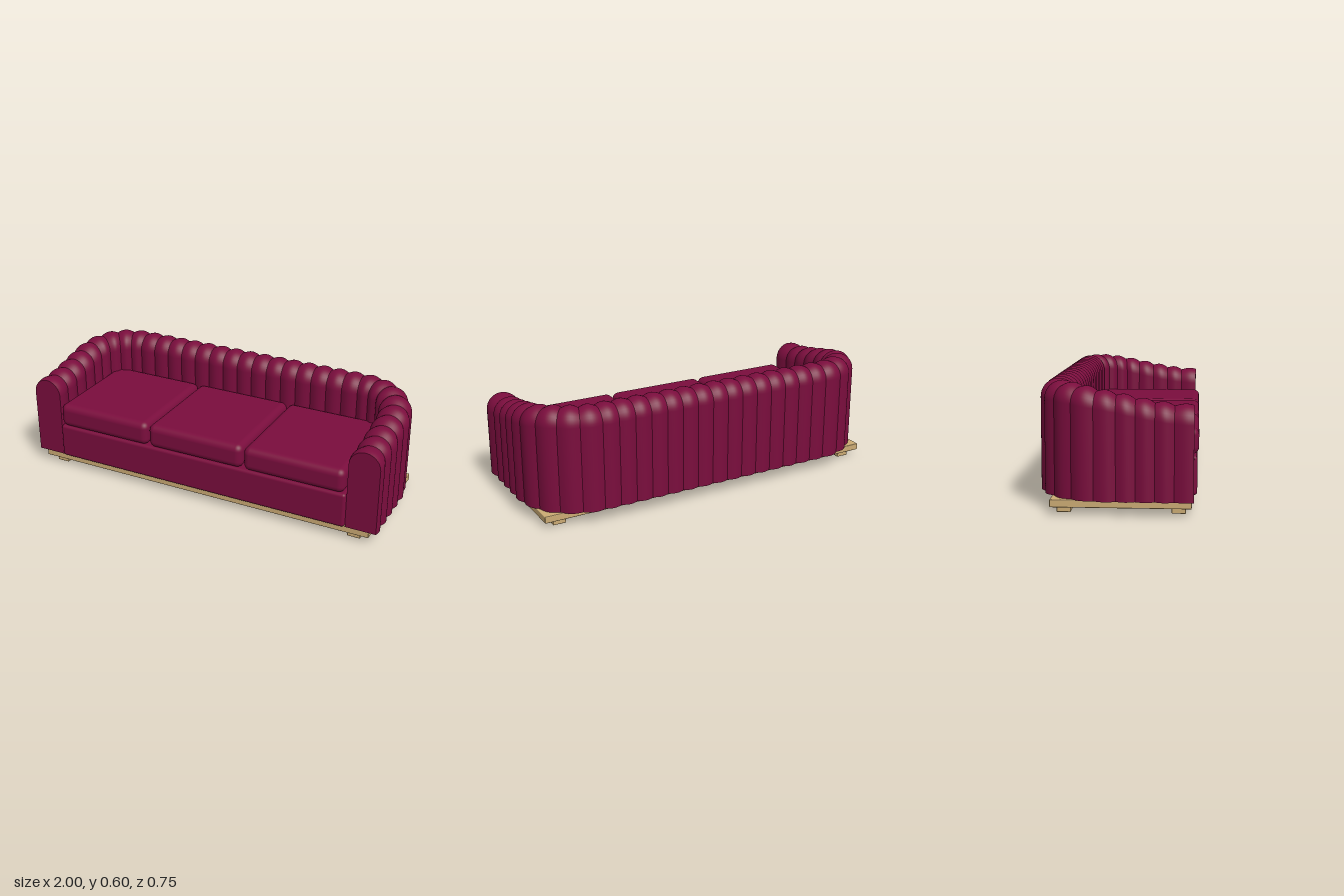
import * as THREE from 'three';
import { RoundedBoxGeometry } from 'three/addons/geometries/RoundedBoxGeometry.js';

const ARM_X = 0.914, FRONT_Z = 0.355, BACK_Z = -0.29, R = 0.25; // centre line of the wall
const FLOOR = 0.07, ROLLS = 33, STEPS = 10, ARCH = 18;
const ARM = FRONT_Z - (BACK_Z + R), ARC = R * Math.PI / 2, BACK = 2 * (ARM_X - R);
const LENGTH = 2 * (ARM + ARC) + BACK;

// Point and outward direction on the U-shaped centre line, starting at the left arm's front
function pathAt(s) {
  if (s > LENGTH / 2) {
    const p = pathAt(LENGTH - s);
    return { x: -p.x, z: p.z, nx: -p.nx, nz: p.nz };
  }
  if (s < ARM) return { x: ARM_X, z: FRONT_Z - s, nx: 1, nz: 0 };
  if (s < ARM + ARC) {
    const a = (s - ARM) / R, nx = Math.cos(a), nz = -Math.sin(a);
    return { x: ARM_X - R + R * nx, z: BACK_Z + R + R * nz, nx, nz };
  }
  return { x: ARM_X - R - (s - ARM - ARC), z: BACK_Z, nx: 0, nz: -1 };
}

// Wall height rises smoothly from the arm fronts to the back
const heightAt = s => 0.508 + 0.092 * THREE.MathUtils.smoothstep(Math.min(s, LENGTH - s), 0, 0.65);

// Round-topped section as [outward, up] pairs, from outer bottom to inner bottom
function section(s, bulge) {
  const r = 0.072 + 0.014 * bulge, spring = heightAt(s) - 0.086;
  const pts = [[r, FLOOR]];
  for (let j = 0; j <= ARCH; j++) {
    const a = Math.PI * j / ARCH;
    pts.push([r * Math.cos(a), spring + r * Math.sin(a)]);
  }
  pts.push([-r, FLOOR]);
  return pts;
}

// Each padded roll has its own vertices, so the seams between rolls stay crisp
function channelWall() {
  const pos = [], idx = [], n = ARCH + 3;
  for (let k = 0; k < ROLLS; k++) {
    const start = pos.length / 3;
    const rings = [];
    for (let i = 0; i <= STEPS; i++) {
      const t = i / STEPS, s = (k + t) * LENGTH / ROLLS;
      let u = t;
      if (k === 0) u = 0.2 + 0.8 * t;
      if (k === ROLLS - 1) u = 0.8 * t;
      const p = pathAt(s);
      const ring = section(s, Math.sin(Math.PI * u)).map(([o, y]) => [p.x + p.nx * o, y, p.z + p.nz * o]);
      rings.push(ring);
      ring.forEach(v => pos.push(...v));
    }
    for (let i = 0; i < STEPS; i++) {
      for (let j = 0; j < n - 1; j++) {
        const a = start + i * n + j, b = a + n;
        idx.push(a, b, a + 1, b, b + 1, a + 1);
      }
    }
    // Flat underside
    const under = pos.length / 3;
    rings.forEach(ring => pos.push(...ring[0], ...ring[n - 1]));
    for (let i = 0; i < STEPS; i++) {
      const a = under + 2 * i;
      idx.push(a, a + 1, a + 2, a + 1, a + 3, a + 2);
    }
  }
  const g = new THREE.BufferGeometry();
  g.setAttribute('position', new THREE.Float32BufferAttribute(pos, 3));
  g.setIndex(idx);
  g.computeVertexNormals();
  return g;
}

export function createModel() {
  const group = new THREE.Group();
  const fabric = new THREE.MeshStandardMaterial({ name: 'wine velvet', color: 0x7a0d3d });
  const wood = new THREE.MeshStandardMaterial({ name: 'light oak', color: 0xcbab74 });

  const add = (name, geometry, material, x = 0, y = 0, z = 0) => {
    const mesh = new THREE.Mesh(geometry, material);
    mesh.name = name;
    mesh.position.set(x, y, z);
    group.add(mesh);
  };
  // Rounded box given by its limits on each axis
  const block = (name, material, [x0, x1], [y0, y1], [z0, z1], radius) =>
    add(name, new RoundedBoxGeometry(x1 - x0, y1 - y0, z1 - z0, 5, radius), material,
      (x0 + x1) / 2, (y0 + y1) / 2, (z0 + z1) / 2);

  // Channelled back and arms
  add('channelledBackAndArms', channelWall(), fabric);
  const endShape = new THREE.Shape(section(0, Math.sin(0.2 * Math.PI)).map(([x, y]) => new THREE.Vector2(x, y)));
  for (const side of [1, -1]) {
    add(side > 0 ? 'leftArmFront' : 'rightArmFront', new THREE.ShapeGeometry(endShape), fabric, side * ARM_X, 0, FRONT_Z);
  }

  // Seat body and three cushions
  block('seatBody', fabric, [-0.832, 0.832], [0.07, 0.257], [-0.25, 0.37], 0.016);
  for (let i = -1; i <= 1; i++) {
    const x = i * 0.551;
    block('seatCushion', fabric, [x - 0.272, x + 0.272], [0.257, 0.386], [-0.22, 0.377], 0.036);
  }

  // Wooden plinth and feet
  block('plinth', wood, [-0.955, 0.955], [0.033, 0.069], [-0.302, 0.346], 0.004);
  for (const x of [-0.87, 0.87]) {
    for (const z of [-0.243, 0.287]) {
      block('foot', wood, [x - 0.034, x + 0.034], [0, 0.036], [z - 0.033, z + 0.033], 0.004);
    }
  }
  return group;
}
